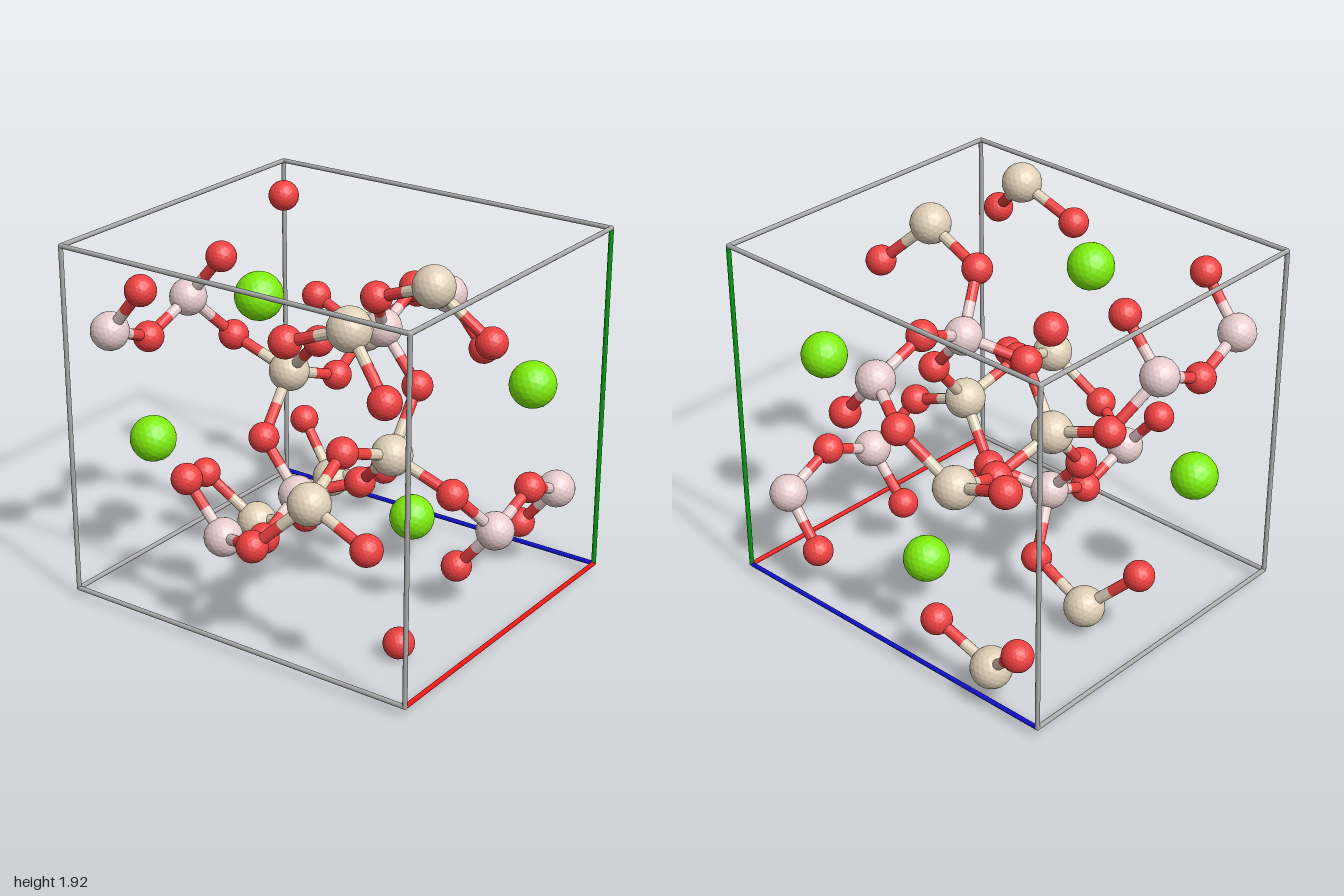
import * as THREE from 'three';

// Unit cell: half sizes and height of its centre
const HX = 0.87, HY = 0.905, HZ = 0.987, CY = 0.966;

const KINDS = {
  green: { color: 0x80ee0c, radius: 0.118 },
  tan: { color: 0xe0d0b8, radius: 0.104 },
  pink: { color: 0xe8cccc, radius: 0.096 },
  red: { color: 0xee4040, radius: 0.078 },
};

// One independent atom per site; the cell symmetry makes the rest
const SITES = [
  ['green', -0.435, 1.67, -0.15],
  ['pink', -0.14, 1.435, -0.828],
  ['tan', -0.1, 1.775, 0.605],
  ['red', -0.435, 1.312, -0.842],
  ['red', -0.435, 0.99, 0.328],
  ['red', 0, 1.525, 0.862],
  ['red', -0.078, 1.647, 0.27],
  ['red', 0.132, 1.15, 0.37],
];

const material = (color, flatShading = false) =>
  new THREE.MeshStandardMaterial({ color, flatShading });

// Cylinder between two points
function rod(a, b, radius, mat, sides, name) {
  const dir = b.clone().sub(a);
  const mesh = new THREE.Mesh(new THREE.CylinderGeometry(radius, radius, dir.length(), sides), mat);
  mesh.position.copy(a).add(b).multiplyScalar(0.5);
  mesh.quaternion.setFromUnitVectors(new THREE.Vector3(0, 1, 0), dir.normalize());
  mesh.name = name;
  return mesh;
}

// Mirror, half-cell glide and inversion images of one site
function images([kind, x, y, z]) {
  const list = [];
  const v = y - CY;
  const mirrorX = Math.sign(x || -1) * HX - x;
  for (const px of Math.abs(mirrorX - x) < 0.01 ? [x] : [x, mirrorX]) {
    const glide = [px, v > 0 ? v - HY : v + HY, Math.sign(z) * HZ - z];
    for (const p of [[px, v, z], glide]) {
      for (const s of [1, -1]) {
        list.push({ kind, pos: new THREE.Vector3(s * p[0], CY + s * p[1], s * p[2]) });
      }
    }
  }
  return list;
}

export function createModel() {
  const model = new THREE.Group();
  model.name = 'crystalCell';
  const mats = {}, balls = {};
  for (const [kind, k] of Object.entries(KINDS)) {
    mats[kind] = material(k.color, true);
    balls[kind] = new THREE.IcosahedronGeometry(k.radius, 3);
  }

  // Atoms
  const atoms = SITES.flatMap(images);
  const atomGroup = new THREE.Group();
  atomGroup.name = 'atoms';
  for (const { kind, pos } of atoms) {
    const ball = new THREE.Mesh(balls[kind], mats[kind]);
    ball.position.copy(pos);
    ball.name = kind + 'Atom';
    atomGroup.add(ball);
  }
  model.add(atomGroup);

  // Bonds: each half takes the colour of its own atom
  const bonds = new THREE.Group();
  bonds.name = 'bonds';
  const reds = atoms.filter((a) => a.kind === 'red');
  for (const t of atoms.filter((a) => a.kind === 'tan' || a.kind === 'pink')) {
    for (const o of reds) {
      if (t.pos.distanceTo(o.pos) > 0.43) continue;
      const mid = t.pos.clone().lerp(o.pos, 0.5);
      bonds.add(rod(t.pos, mid, 0.028, mats[t.kind], 12, t.kind + 'BondHalf'));
      bonds.add(rod(mid, o.pos, 0.028, mats.red, 12, 'redBondHalf'));
    }
  }
  model.add(bonds);

  // Cell frame: three coloured axes meet at the lower front left corner
  const frame = new THREE.Group();
  frame.name = 'cellFrame';
  const grey = material(0xaaaaaa);
  const half = [HX, HY, HZ];
  const axisMats = [material(0xee1111), material(0x0a9a14), material(0x1111cc)];
  const origin = [1, -1, 1];
  for (let axis = 0; axis < 3; axis++) {
    const u = (axis + 1) % 3, w = (axis + 2) % 3;
    for (const su of [-1, 1]) {
      for (const sw of [-1, 1]) {
        const ends = [-1, 1].map((s) => {
          const p = [0, 0, 0];
          p[axis] = s * half[axis];
          p[u] = su * half[u];
          p[w] = sw * half[w];
          return new THREE.Vector3(p[0], p[1] + CY, p[2]);
        });
        const coloured = su === origin[u] && sw === origin[w];
        frame.add(rod(ends[0], ends[1], 0.012, coloured ? axisMats[axis] : grey, 12,
          coloured ? 'axisEdge' : 'cellEdge'));
      }
    }
  }
  // Rounded corners where the edges meet
  const cornerGeo = new THREE.SphereGeometry(0.012, 12, 8);
  for (const x of [-HX, HX]) for (const y of [-HY, HY]) for (const z of [-HZ, HZ]) {
    const corner = new THREE.Mesh(cornerGeo, grey);
    corner.position.set(x, CY + y, z);
    corner.name = 'cellCorner';
    frame.add(corner);
  }
  model.add(frame);
  return model;
}
